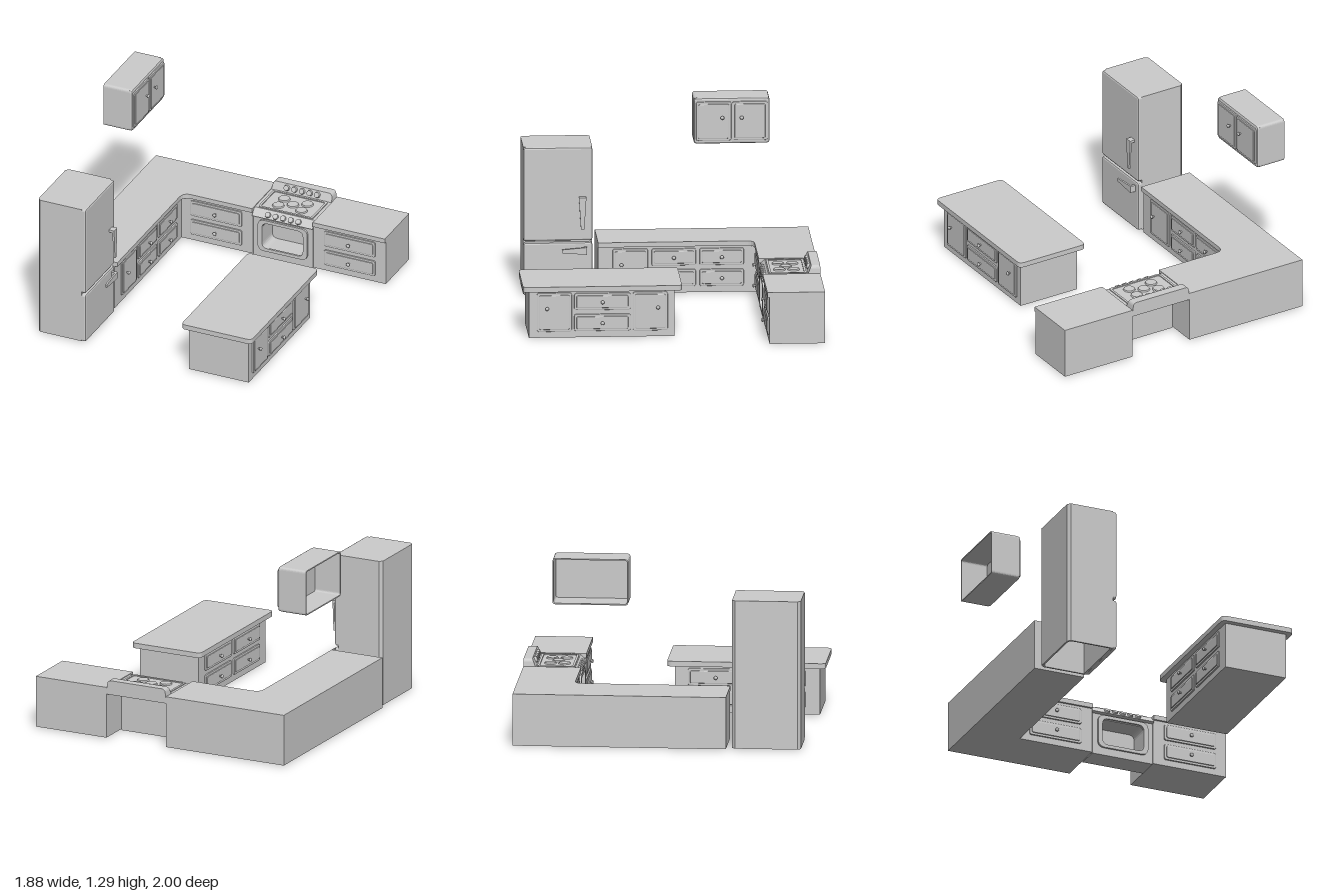
import * as THREE from 'three';

const grey = new THREE.MeshStandardMaterial({ color: 0xcccccc, side: THREE.DoubleSide });

function add(parent, name, geo, x = 0, y = 0, z = 0) {
  const m = new THREE.Mesh(geo, grey);
  m.name = name;
  m.position.set(x, y, z);
  parent.add(m);
  return m;
}

function group(parent, name, x = 0, y = 0, z = 0, turn = 0) {
  const g = new THREE.Group();
  g.name = name;
  g.position.set(x, y, z);
  g.rotation.y = turn;
  parent.add(g);
  return g;
}

// box given by its minimum and maximum corners
function block(parent, name, [x0, y0, z0], [x1, y1, z1]) {
  return add(parent, name, new THREE.BoxGeometry(x1 - x0, y1 - y0, z1 - z0),
    (x0 + x1) / 2, (y0 + y1) / 2, (z0 + z1) / 2);
}

function roundRect(w, h, r, Type = THREE.Shape) {
  const s = new Type(), a = w / 2, b = h / 2;
  s.moveTo(-a + r, -b);
  s.lineTo(a - r, -b); s.quadraticCurveTo(a, -b, a, -b + r);
  s.lineTo(a, b - r); s.quadraticCurveTo(a, b, a - r, b);
  s.lineTo(-a + r, b); s.quadraticCurveTo(-a, b, -a, b - r);
  s.lineTo(-a, -b + r); s.quadraticCurveTo(-a, -b, -a + r, -b);
  return s;
}

// plain extrusion along z, from 0 to depth
const extrude = (shape, depth) =>
  new THREE.ExtrudeGeometry(shape, { depth, bevelEnabled: false, curveSegments: 5 });

// rounded plate with a bevelled front edge, back at z = 0
function plate(w, h, depth, bevel, r) {
  const g = new THREE.ExtrudeGeometry(roundRect(w - 2 * bevel, h - 2 * bevel, r), {
    depth: depth - bevel, bevelThickness: bevel, bevelSize: bevel, bevelSegments: 2, curveSegments: 4,
  });
  const p = g.attributes.position;
  for (let i = 0; i < p.count; i++) p.setZ(i, Math.max(0, p.getZ(i)));
  g.computeVertexNormals();
  return g;
}

// horizontal slab from a plan outline (x, z), hanging down from y = top
function slab(parent, name, shape, top, thickness, x = 0, z = 0) {
  const g = extrude(shape, thickness).rotateX(Math.PI / 2);
  return add(parent, name, g, x, top, z);
}

const knobGeo = new THREE.LatheGeometry(
  [[0.006, 0], [0.006, 0.012], [0.012, 0.016], [0.013, 0.021], [0.009, 0.026], [0, 0.028]]
    .map(p => new THREE.Vector2(...p)), 12).rotateX(Math.PI / 2);

// raised door or drawer front with its knob
function panel(parent, name, x, y, w, h, knobX = x, knobY = y) {
  add(parent, name, plate(w, h, 0.01, 0.004, 0.01), x, y, 0);
  add(parent, name + 'Inset', plate(w - 0.03, h - 0.03, 0.007, 0.005, 0.006), x, y, 0.009);
  add(parent, name + 'Knob', knobGeo, knobX, knobY, 0.014);
}

function drawerPair(parent, x, w) {
  panel(parent, 'upperDrawer', x, 0.25, w, 0.115);
  panel(parent, 'lowerDrawer', x, 0.107, w, 0.115);
}

const TOP = 0.357, UNDER = 0.325, FLOOR = 0.006, QUARTER = Math.PI / 2;

function buildCounters(root) {
  // L-shaped run with a rounded inner corner
  const L = group(root, 'cornerCounter');
  const s = new THREE.Shape();
  s.moveTo(-0.92, -1);
  s.lineTo(-0.035, -1); s.lineTo(-0.035, -0.615);
  s.lineTo(-0.48, -0.615); s.quadraticCurveTo(-0.54, -0.615, -0.54, -0.555);
  s.lineTo(-0.54, 0.425); s.lineTo(-0.92, 0.425);
  slab(L, 'cornerWorktop', s, TOP, TOP - UNDER);
  block(L, 'backCabinet', [-0.92, FLOOR, -1], [-0.035, UNDER, -0.63]);
  block(L, 'sideCabinet', [-0.92, FLOOR, -0.63], [-0.56, UNDER, 0.425]);
  drawerPair(group(L, 'backFronts', 0, 0, -0.63), -0.303, 0.375);
  const side = group(L, 'sideFronts', -0.56, 0, 0, QUARTER);
  drawerPair(side, 0.4, 0.295);
  drawerPair(side, 0.08, 0.295);
  panel(side, 'door', -0.21, 0.18, 0.235, 0.26, -0.27, 0.205);

  // counter on the other side of the stove
  const R = group(root, 'endCounter');
  block(R, 'endWorktop', [0.41, UNDER, -1], [0.94, TOP, -0.615]);
  block(R, 'endCabinet', [0.41, FLOOR, -1], [0.94, UNDER, -0.63]);
  drawerPair(group(R, 'endFronts', 0, 0, -0.63), 0.677, 0.375);
}

function buildIsland(root) {
  const I = group(root, 'island', 0.453, 0, 0.47);
  slab(I, 'islandWorktop', roundRect(0.516, 1.06, 0.035), TOP + 0.003, 0.035);
  block(I, 'islandCabinet', [-0.22, FLOOR, -0.48], [0.22, UNDER, 0.49]);
  const outer = group(I, 'outerFronts', 0.22, 0, 0, QUARTER);
  drawerPair(outer, 0, 0.375);
  for (const s of [-1, 1])
    panel(outer, 'door', s * 0.32, 0.18, 0.232, 0.265, s * 0.37, 0.21);
  const inner = group(I, 'innerFronts', -0.22, 0, 0, -QUARTER);
  for (const s of [-1, 1]) drawerPair(inner, s * 0.205, 0.375);
}

function buildStove(root) {
  const S = group(root, 'stove', 0.187, 0, 0);
  // oven body with a rounded opening
  const face = new THREE.Shape([[-0.22, 0], [0.22, 0], [0.22, 0.31], [-0.22, 0.31]]
    .map(p => new THREE.Vector2(...p)));
  const hole = roundRect(0.3, 0.19, 0.04, THREE.Path);
  face.holes.push(new THREE.Path(hole.getPoints(5).map(p => p.add(new THREE.Vector2(0, 0.165)))));
  add(S, 'ovenBody', extrude(face, 0.15), 0, 0, -0.78);
  block(S, 'ovenBack', [-0.22, 0, -0.79], [0.22, 0.31, -0.78]);
  const rim = roundRect(0.365, 0.235, 0.05);
  rim.holes.push(roundRect(0.3, 0.19, 0.04, THREE.Path));
  add(S, 'ovenDoorFrame', extrude(rim, 0.014), 0, 0.17, -0.63);

  // hob with a sloping control panel, drawn as a side profile (-z, y)
  const side = new THREE.Shape([[1, 0.31], [1, 0.352], [0.655, 0.352], [0.612, 0.305], [0.63, 0.295], [0.78, 0.3]]
    .map(p => new THREE.Vector2(...p)));
  add(S, 'hob', extrude(side, 0.444).rotateY(QUARTER), -0.222, 0, 0);
  const border = roundRect(0.4, 0.25, 0.02);
  border.holes.push(roundRect(0.37, 0.22, 0.02, THREE.Path));
  slab(S, 'hobBorder', border, 0.358, 0.008, 0, -0.785);
  const burner = new THREE.CylinderGeometry(0.037, 0.042, 0.012, 24);
  for (const [x, z] of [[-0.085, -0.83], [0.085, -0.83], [-0.085, -0.735], [0.085, -0.735], [0, -0.782]])
    add(S, 'burner', burner, x, 0.355, z);

  // splashback with rounded top corners and a leaning front
  const back = new THREE.Shape();
  back.moveTo(-0.222, 0.345); back.lineTo(0.222, 0.345);
  back.lineTo(0.217, 0.385); back.quadraticCurveTo(0.213, 0.408, 0.19, 0.408);
  back.lineTo(-0.19, 0.408); back.quadraticCurveTo(-0.213, 0.408, -0.217, 0.385);
  const g = extrude(back, 0.085), p = g.attributes.position;
  for (let i = 0; i < p.count; i++)
    if (p.getZ(i) > 0.01) p.setZ(i, p.getZ(i) - (p.getY(i) - 0.345) * 0.4);
  g.computeVertexNormals();
  add(S, 'splashback', g, 0, 0, -1);

  // two rows of control knobs
  const dial = new THREE.CylinderGeometry(0.018, 0.022, 0.024, 16).rotateX(QUARTER);
  for (let i = -2; i <= 2; i++) {
    add(S, 'rearDial', dial, i * 0.056, 0.383, -0.925).rotation.x = -0.38;
    add(S, 'frontDial', dial, i * 0.056, 0.326, -0.63).rotation.x = -0.75;
  }
}

function buildFridge(root) {
  const F = group(root, 'fridge', -0.72, 0, 0.693);
  // chamfered hollow body, open underneath
  const outline = (a, b, c, Type) => new Type([[-a + c, -b], [a, -b], [a, b], [-a + c, b], [-a, b - c], [-a, -b + c]]
    .map(p => new THREE.Vector2(...p)));
  const body = outline(0.162, 0.23, 0.02, THREE.Shape);
  body.holes.push(outline(0.15, 0.218, 0.018, THREE.Path));
  slab(F, 'fridgeBody', body, 1, 0.994, -0.013);
  slab(F, 'fridgeTop', outline(0.162, 0.23, 0.02, THREE.Shape), 1.012, 0.012, -0.013);

  // doors and handles
  const front = group(F, 'fridgeFront', 0.149, 0, 0, QUARTER);
  add(front, 'upperDoor', plate(0.46, 0.637, 0.03, 0.012, 0.004), 0, 0.6935, 0);
  add(front, 'lowerDoor', plate(0.46, 0.357, 0.03, 0.012, 0.004), 0, 0.1835, 0);
  const blade = new THREE.BoxGeometry(0.05, 0.215, 0.012), p = blade.attributes.position;
  for (let i = 0; i < p.count; i++) if (p.getY(i) < 0) p.setX(i, p.getX(i) * 0.45);
  for (const [name, x, y, turn] of [['upperHandle', 0.163, 0.675, 0], ['lowerHandle', 0.193, 0.31, -QUARTER]]) {
    const h = group(front, name, x, y, 0.03);
    h.rotation.z = turn;
    const bar = add(h, 'grip', blade, 0, -0.1075, 0.031);
    if (turn) { bar.scale.y = 0.78; bar.position.y = -0.084; }
    block(h, 'mount', [-0.023, -0.018, -0.002], [0.023, 0, 0.03]);
  }
}

function buildWallCabinet(root) {
  // hollow cabinet, open at the back, doors facing +x
  const W = group(root, 'wallCabinet', -0.945, 1.134, -0.478, QUARTER);
  const shell = roundRect(0.506, 0.312, 0.02);
  shell.holes.push(roundRect(0.49, 0.296, 0.016, THREE.Path));
  add(W, 'cabinetShell', extrude(shell, 0.19), 0, 0, 0);
  add(W, 'cabinetFace', plate(0.506, 0.312, 0.022, 0.012, 0.012), 0, 0, 0.188);
  const doors = group(W, 'cabinetDoors', 0, 0, 0.21);
  for (const s of [-1, 1])
    panel(doors, 'door', s * 0.121, 0, 0.235, 0.265, s * 0.064, 0.028);
}

export function createModel() {
  const root = new THREE.Group();
  root.name = 'kitchen';
  buildCounters(root);
  buildIsland(root);
  buildStove(root);
  buildFridge(root);
  buildWallCabinet(root);
  return root;
}
